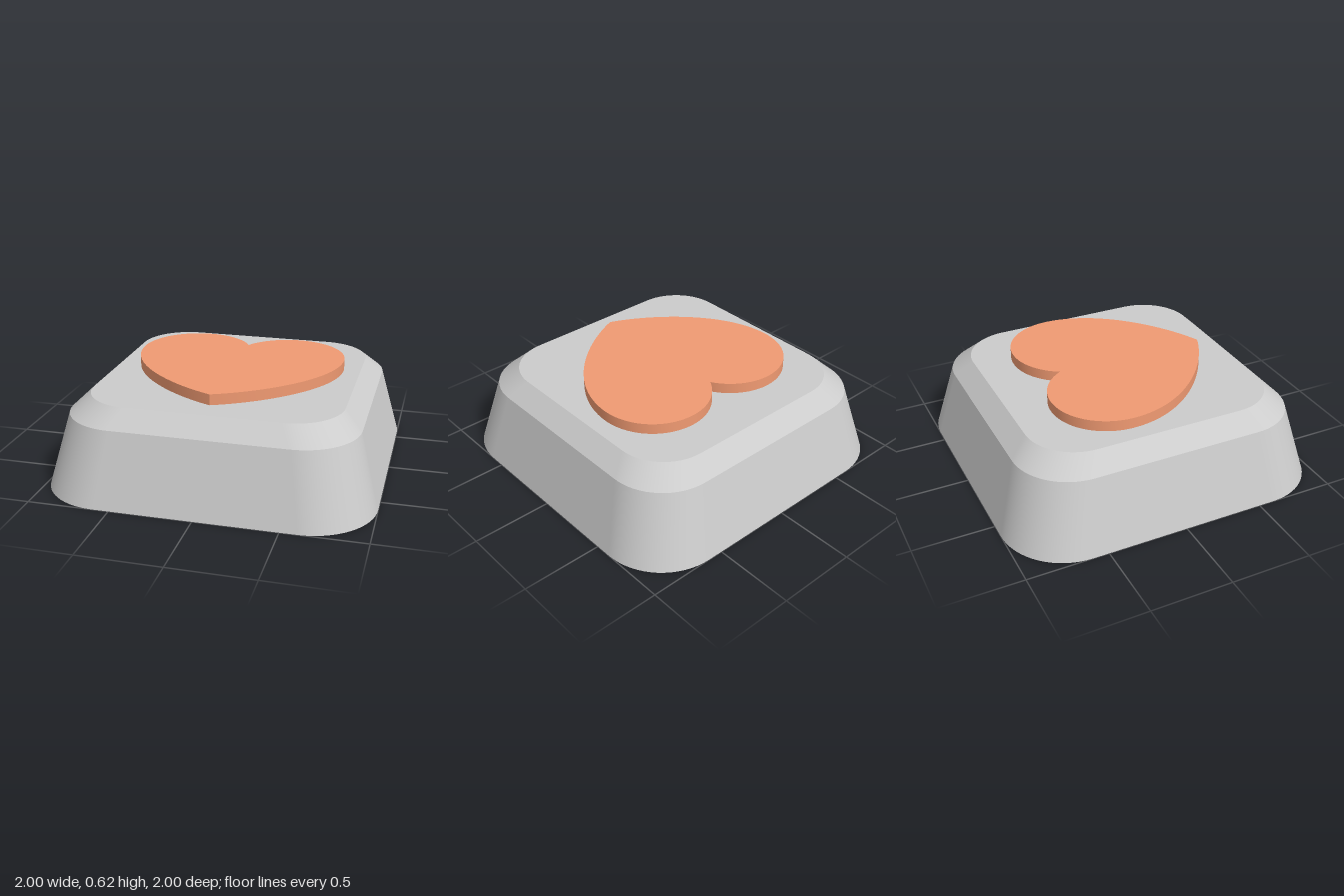
import * as THREE from 'three';
import { toCreasedNormals } from 'three/addons/utils/BufferGeometryUtils.js';

const CEILING = 0.42;   // underside of the cap's top
const TOP = 0.555;

// Outline of a rounded square with half width 1, as [x, z] points
function roundedSquare(radius, steps) {
  const points = [];
  for (let corner = 0; corner < 4; corner++) {
    const mid = (corner + 0.5) * Math.PI / 2;
    const cx = Math.sign(Math.cos(mid)) * (1 - radius);
    const cz = Math.sign(Math.sin(mid)) * (1 - radius);
    for (let i = 0; i <= steps; i++) {
      const a = (corner + i / steps) * Math.PI / 2;
      points.push([cx + radius * Math.cos(a), cz + radius * Math.sin(a)]);
    }
  }
  return points;
}

// Skin scaled copies of an outline; each band has its own vertices so its edges stay sharp
function loft(outline, sections) {
  const positions = [], index = [], n = outline.length;
  for (let s = 0; s < sections.length - 1; s++) {
    const base = positions.length / 3;
    for (const [scale, y] of [sections[s], sections[s + 1]])
      for (const [x, z] of outline) positions.push(x * scale, y, z * scale);
    for (let i = 0; i < n; i++) {
      const a = base + i, b = base + (i + 1) % n;
      if (sections[s][0] > 0) index.push(a, a + n, b);
      if (sections[s + 1][0] > 0) index.push(b, a + n, b + n);
    }
  }
  const geometry = new THREE.BufferGeometry();
  geometry.setAttribute('position', new THREE.Float32BufferAttribute(positions, 3));
  geometry.setIndex(index);
  geometry.computeVertexNormals();
  return geometry;
}

// Extrude a floor-plan shape upwards from y0 to y1 (shape y points to -z)
function extrudeUp(shape, y0, y1) {
  const geometry = new THREE.ExtrudeGeometry(shape, { depth: y1 - y0, bevelEnabled: false, curveSegments: 28 });
  geometry.rotateX(-Math.PI / 2).translate(0, y0, 0);
  return toCreasedNormals(geometry, 0.5);
}

function heartShape() {
  const s = new THREE.Shape();
  s.moveTo(0, -0.61);
  s.bezierCurveTo(0.3, -0.49, 0.665, -0.18, 0.665, 0.18);
  s.bezierCurveTo(0.665, 0.385, 0.51, 0.545, 0.31, 0.545);
  s.bezierCurveTo(0.18, 0.545, 0.06, 0.47, 0, 0.36);
  s.bezierCurveTo(-0.06, 0.47, -0.18, 0.545, -0.31, 0.545);
  s.bezierCurveTo(-0.51, 0.545, -0.665, 0.385, -0.665, 0.18);
  s.bezierCurveTo(-0.665, -0.18, -0.3, -0.49, 0, -0.61);
  return s;
}

// Four round-ended lobes with a cross-shaped socket
function stemShape() {
  const r = 0.31, w = 0.165, spread = Math.asin(w / r);
  const shape = new THREE.Shape(), socket = [];
  const turn = (x, y, a) => new THREE.Vector2(x * Math.cos(a) - y * Math.sin(a), x * Math.sin(a) + y * Math.cos(a));
  for (let i = 0; i < 4; i++) {
    const a = i * Math.PI / 2;
    const notch = turn(w, -w, a);
    if (i === 0) shape.moveTo(notch.x, notch.y);
    else shape.lineTo(notch.x, notch.y);
    shape.absarc(0, 0, r, a - spread, a + spread, false);
    socket.push(turn(0.07, -0.07, a), turn(0.22, -0.07, a), turn(0.22, 0.07, a));
  }
  shape.closePath();
  shape.holes.push(new THREE.Path(socket.reverse()));
  return shape;
}

export function createModel() {
  const group = new THREE.Group();
  const grey = new THREE.MeshStandardMaterial({ color: 0xcccccc });
  const orange = new THREE.MeshStandardMaterial({ color: 0xf09a72 });
  const add = (name, geometry, material) => {
    const mesh = new THREE.Mesh(geometry, material);
    mesh.name = name;
    group.add(mesh);
    return mesh;
  };

  // Hollow cap: ceiling, inner wall, bottom rim, outer wall, chamfer, top
  add('capShell', loft(roundedSquare(0.4, 16), [
    [0, CEILING], [0.67, CEILING], [0.787, 0], [1, 0], [0.88, 0.45], [0.77, TOP], [0, TOP],
  ]), grey);

  // Raised heart on the top
  add('heart', extrudeUp(heartShape(), TOP, 0.622), orange);

  // Mounting stem inside the cap
  add('stem', extrudeUp(stemShape(), 0, CEILING + 0.01), grey);

  // Ribs under the ceiling, from stem to walls
  for (let i = 0; i < 4; i++) {
    const rib = new THREE.BoxGeometry(0.43, 0.07, 0.12);
    rib.translate(0.465, CEILING - 0.025, 0).rotateY(i * Math.PI / 2);
    add('ceilingRib', rib, grey);
  }
  return group;
}
